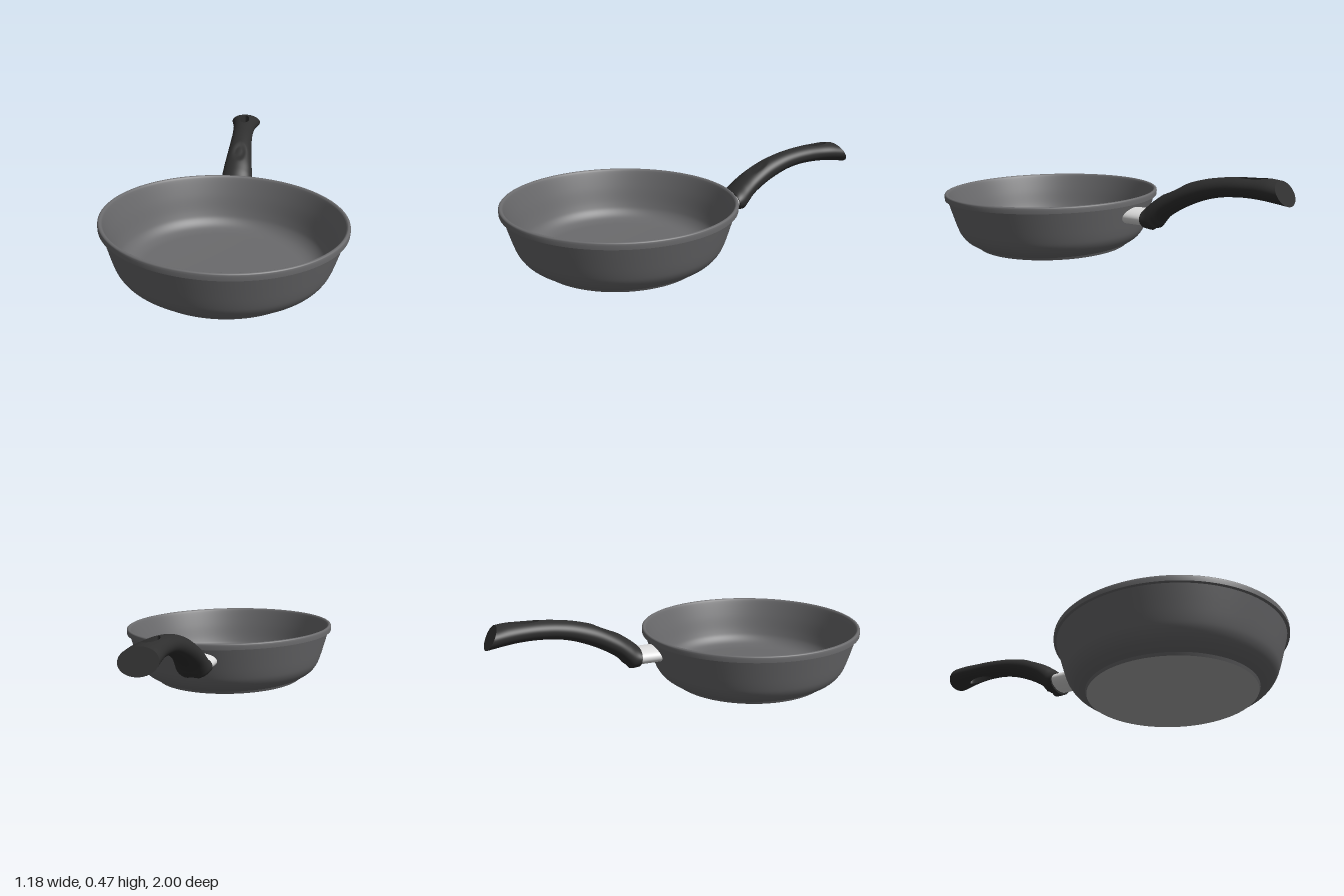
import * as THREE from 'three';
import { toCreasedNormals } from 'three/addons/utils/BufferGeometryUtils.js';

const material = (name, color) => {
  const m = new THREE.MeshStandardMaterial({ color });
  m.name = name;
  return m;
};
const panCoat = material('panCoat', 0x6a6a6c);
const baseMetal = material('baseMetal', 0xadadad);
const handleBlack = material('handleBlack', 0x2f2f2f);
const steel = material('steel', 0xdedede);

// Crease at enlarged scale so that close vertices are kept apart
function crease(geometry, angle) {
  geometry.scale(100, 100, 100);
  return toCreasedNormals(geometry, angle).scale(0.01, 0.01, 0.01);
}

function addMesh(parent, name, geometry, mat) {
  const mesh = new THREE.Mesh(geometry, mat);
  mesh.name = name;
  parent.add(mesh);
  return mesh;
}

const smooth = (pts, n) =>
  new THREE.SplineCurve(pts.map(([x, y]) => new THREE.Vector2(x, y))).getPoints(n);

const baseRadius = 0.417, baseY = 0.01;

// Bowl: one profile, up the outside, over the rounded rim and down the inside
function bowlGeometry() {
  const v = (x, y) => new THREE.Vector2(x, y);
  const outside = smooth([[0.424, 0.024], [0.452, 0.036], [0.487, 0.061], [0.513, 0.096],
    [0.53, 0.138], [0.552, 0.21], [0.573, 0.282]], 24);
  const inside = smooth([[0.588, 0.303], [0.586, 0.312], [0.579, 0.316], [0.571, 0.313],
    [0.562, 0.296], [0.534, 0.215], [0.508, 0.13], [0.49, 0.09],
    [0.46, 0.062], [0.42, 0.048], [0.37, 0.045]], 60);
  const profile = [v(baseRadius, baseY), ...outside, v(0.587, 0.284), ...inside, v(0, 0.045)];
  return crease(new THREE.LatheGeometry(profile, 96), 0.6);
}

// Collar: oval tube whose inner end follows the slope of the bowl wall
function collarGeometry() {
  const g = new THREE.CylinderGeometry(1, 1, 1, 48);
  g.rotateX(Math.PI / 2);
  const p = g.attributes.position;
  for (let i = 0; i < p.count; i++) {
    const y = 0.222 + p.getY(i) * 0.043;
    const z = p.getZ(i) > 0 ? -0.122 - 0.25 * (y - 0.18) : -0.262;
    p.setXYZ(i, p.getX(i) * 0.084, y, z);
  }
  return crease(g, 0.6);
}

// Depth of an oval hollow around (0, z0), with a short sloping edge
function hollow(p, z0, halfX, halfZ, depth) {
  const d = Math.hypot(p.x / halfX, (p.z - z0) / halfZ);
  return depth * Math.min(1, Math.max(0, 2 * (1 - d)));
}

// Handle: half oval sections swept along the grip and mirrored, with a hanging slot
function handleGeometry() {
  // half width, top y, top z, bottom y, bottom z
  const keys = [
    [0.092, 0.27, -0.238, 0.168, -0.257],
    [0.09, 0.289, -0.258, 0.165, -0.298],
    [0.086, 0.319, -0.295, 0.19, -0.322],
    [0.079, 0.36, -0.358, 0.236, -0.364],
    [0.069, 0.408, -0.455, 0.292, -0.455],
    [0.062, 0.44, -0.56, 0.338, -0.56],
    [0.06, 0.456, -0.65, 0.362, -0.65],
    [0.063, 0.465, -0.735, 0.371, -0.735],
    [0.068, 0.468, -0.8125, 0.372, -0.8125],
    [0.079, 0.469, -0.89, 0.367, -0.89],
    [0.089, 0.463, -0.938, 0.352, -1.0],
  ];
  const slotStart = 7, slotEnd = 9, across = 32;
  const curve = (a, b) => new THREE.CatmullRomCurve3(
    keys.map(k => new THREE.Vector3(k[0], k[a], k[b])), false, 'catmullrom', 0.5);
  const topLine = curve(1, 2), bottomLine = curve(3, 4);

  // Stations, packed closer at the slot ends
  const stations = [];
  for (let i = 0; i < slotStart * 10; i++) stations.push(i / 10);
  for (let i = 0; i <= 24; i++) stations.push(8 - Math.cos(Math.PI * i / 24));
  for (let i = 1; i <= 6; i++) stations.push(slotEnd + i / 6);

  const rings = stations.map(s => {
    const top = topLine.getPoint(s / (keys.length - 1));
    const bottom = bottomLine.getPoint(s / (keys.length - 1));
    const mid = top.clone().add(bottom).multiplyScalar(0.5);
    const inSlot = s > slotStart + 1e-6 && s < slotEnd - 1e-6;
    const slot = inSlot ? 0.027 * Math.sqrt(Math.max(0, 1 - ((mid.z + 0.8125) / 0.0775) ** 2)) : 0;
    const start = Math.asin(slot / top.x);
    const ring = [];
    for (let j = 0; j <= across; j++) {
      const t = start + (Math.PI - 2 * start) * j / across;
      const x = j === 0 || j === across ? slot : top.x * Math.sin(t);
      const p = mid.clone().addScaledVector(top.clone().sub(mid), Math.cos(t)).setX(x);
      // Thumb rest on top, screw recess below
      if (j < across / 2) p.y -= hollow(p, -0.41, 0.043, 0.072, 0.009);
      else p.y += hollow(p, -0.303, 0.034, 0.026, 0.02);
      ring.push(p);
    }
    return ring;
  });

  const data = [];
  const tri = (a, b, c) => {
    for (const p of [a, b, c]) data.push(p.x, p.y, p.z);
    for (const p of [a, c, b]) data.push(-p.x, p.y, p.z);
  };
  for (let i = 0; i < rings.length - 1; i++) {
    const r = rings[i], n = rings[i + 1];
    const hasSlot = stations[i] > slotStart - 1e-6 && stations[i + 1] < slotEnd + 1e-6;
    for (let j = 0; j < across + (hasSlot ? 1 : 0); j++) {
      const k = (j + 1) % (across + 1);
      tri(r[j], r[k], n[j]);
      tri(r[k], n[k], n[j]);
    }
  }
  // End faces
  const first = rings[0], last = rings[rings.length - 1];
  for (let j = 1; j < across; j++) {
    tri(first[0], first[j + 1], first[j]);
    tri(last[0], last[j], last[j + 1]);
  }
  const g = new THREE.BufferGeometry();
  g.setAttribute('position', new THREE.Float32BufferAttribute(data, 3));
  return crease(g, 0.7);
}

export function createModel() {
  const root = new THREE.Group();
  root.name = 'fryingPan';

  // The whole pan leans slightly to its left
  const lean = new THREE.Group();
  lean.name = 'leaningPan';
  lean.rotation.z = -0.027;
  lean.position.x = -0.009;
  root.add(lean);

  addMesh(lean, 'bowl', bowlGeometry(), panCoat).position.z = 0.41;
  const base = addMesh(lean, 'basePlate', new THREE.CircleGeometry(baseRadius, 96), baseMetal);
  base.rotation.x = Math.PI / 2;
  base.position.set(0, baseY, 0.41);
  addMesh(lean, 'collar', collarGeometry(), steel);
  addMesh(lean, 'handle', handleGeometry(), handleBlack);
  return root;
}
